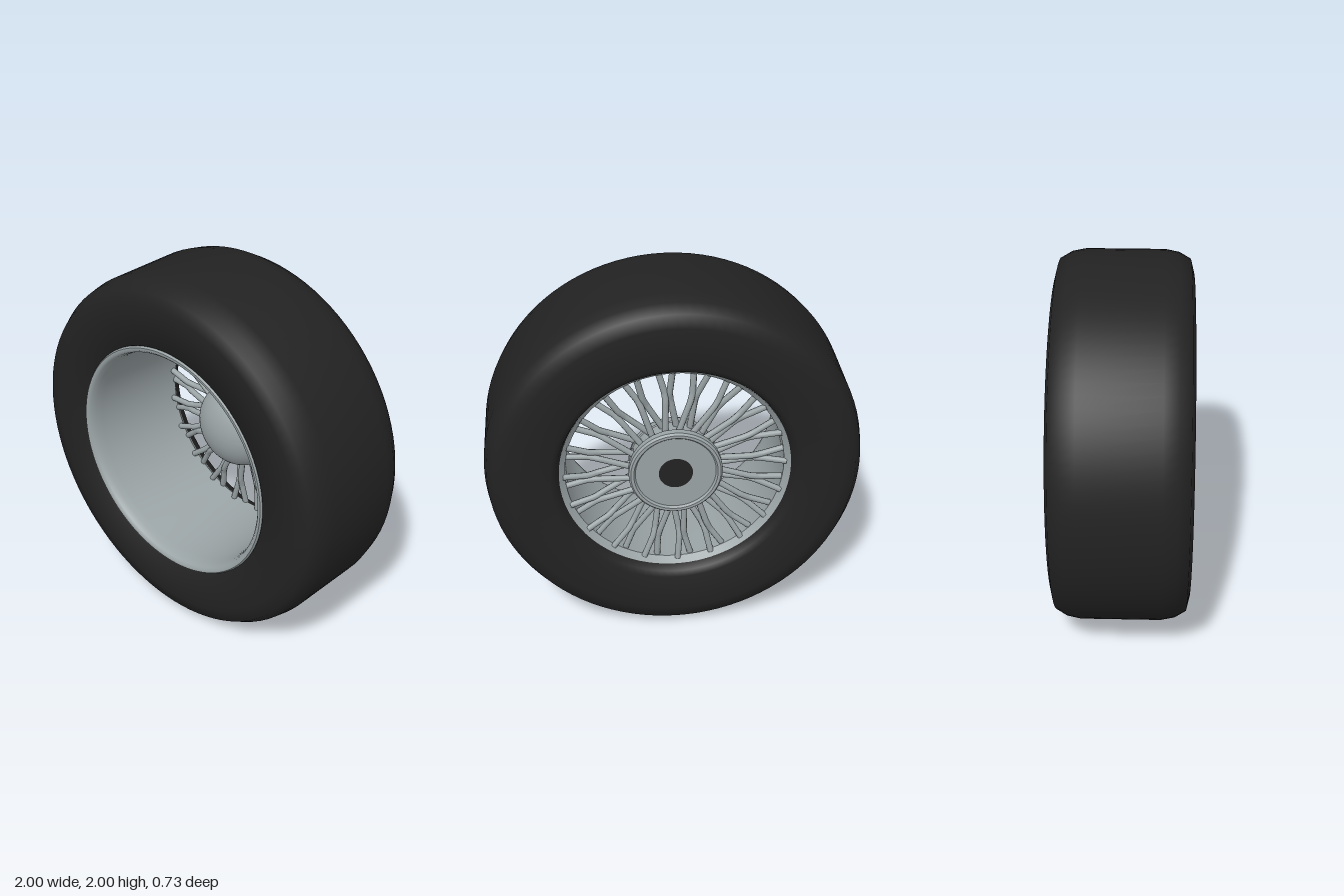
import * as THREE from 'three';
import { toCreasedNormals } from 'three/addons/utils/BufferGeometryUtils.js';

// Turned part around the z axle; profile is [radius, z] pairs
function turned(name, profile, material, crease) {
  const points = profile.map(([r, z]) => new THREE.Vector2(r, z));
  const geometry = new THREE.LatheGeometry(points, 96);
  geometry.rotateX(Math.PI / 2);
  const mesh = new THREE.Mesh(toCreasedNormals(geometry, crease), material);
  mesh.name = name;
  return mesh;
}

export function createModel() {
  const rubber = new THREE.MeshStandardMaterial({ color: 0x222222 });
  rubber.name = 'black rubber';
  const metal = new THREE.MeshStandardMaterial({ color: 0x9aa3a5 });
  metal.name = 'grey metal';

  const model = new THREE.Group();
  model.name = 'wireWheel';
  const wheel = new THREE.Group();
  wheel.name = 'wheel';
  wheel.position.y = 1;
  model.add(wheel);

  // Tyre: mirrored shoulders, open at the bore where the rim sits
  const shoulder = [[0.66, 0.36], [0.88, 0.362], [0.95, 0.345], [0.985, 0.285], [1, 0.21]];
  const tyreProfile = [
    [0.612, -0.3], [0.63, -0.345],
    ...shoulder.map(([r, z]) => [r, -z]),
    ...[...shoulder].reverse(),
    [0.645, 0.34],
  ];
  wheel.add(turned('tyre', tyreProfile, rubber, 1.0));

  // Rim: rolled front lip and deep barrel tapering to the back
  wheel.add(turned('rim', [
    [0.652, 0.33], [0.655, 0.352], [0.647, 0.364], [0.632, 0.364], [0.62, 0.352],
    [0.61, 0.32], [0.605, 0.28], [0.58, -0.27], [0.612, -0.302],
  ], metal, 0.8));

  // Hub: flanged back plate, barrel and domed front cap
  const dome = [];
  for (let i = 0; i <= 12; i++) {
    const a = (i / 12) * Math.PI / 2;
    dome.push([0.24 * Math.cos(a), -0.18 + 0.18 * Math.sin(a)]);
  }
  dome[12][0] = 0;
  wheel.add(turned('hub', [
    [0, -0.31], [0.213, -0.31], [0.222, -0.322], [0.238, -0.322], [0.248, -0.31],
    [0.248, -0.275], [0.235, -0.26], [0.235, -0.185], ...dome,
  ], metal, 0.6));

  const bore = new THREE.Mesh(new THREE.CircleGeometry(0.09, 40), rubber);
  bore.name = 'axleBore';
  bore.rotation.y = Math.PI;
  bore.position.z = -0.313;
  wheel.add(bore);

  // Spokes: twenty mirrored pairs, touching midway and spreading at both ends
  const rod = (side) => {
    const path = new THREE.CurvePath();
    const p = [
      [0.2, 0.034, -0.235 + side * 0.025],
      [0.41, 0.013, -0.245 + side * 0.012],
      [0.46, 0.013, -0.25],
      [0.592, 0.037, -0.262 - side * 0.012],
    ].map(([x, y, z]) => new THREE.Vector3(x, y * side, z));
    for (let i = 0; i < 3; i++) path.add(new THREE.LineCurve3(p[i], p[i + 1]));
    return new THREE.TubeGeometry(path, 16, 0.017, 8);
  };
  const rods = [rod(1), rod(-1)];
  const spokes = new THREE.Group();
  spokes.name = 'spokes';
  for (let k = 0; k < 20; k++) {
    const pair = new THREE.Group();
    pair.name = 'spokePair';
    for (const geometry of rods) {
      const mesh = new THREE.Mesh(geometry, metal);
      mesh.name = 'spoke';
      pair.add(mesh);
    }
    pair.rotation.z = THREE.MathUtils.degToRad(85 + k * 18);
    spokes.add(pair);
  }
  wheel.add(spokes);

  return model;
}
